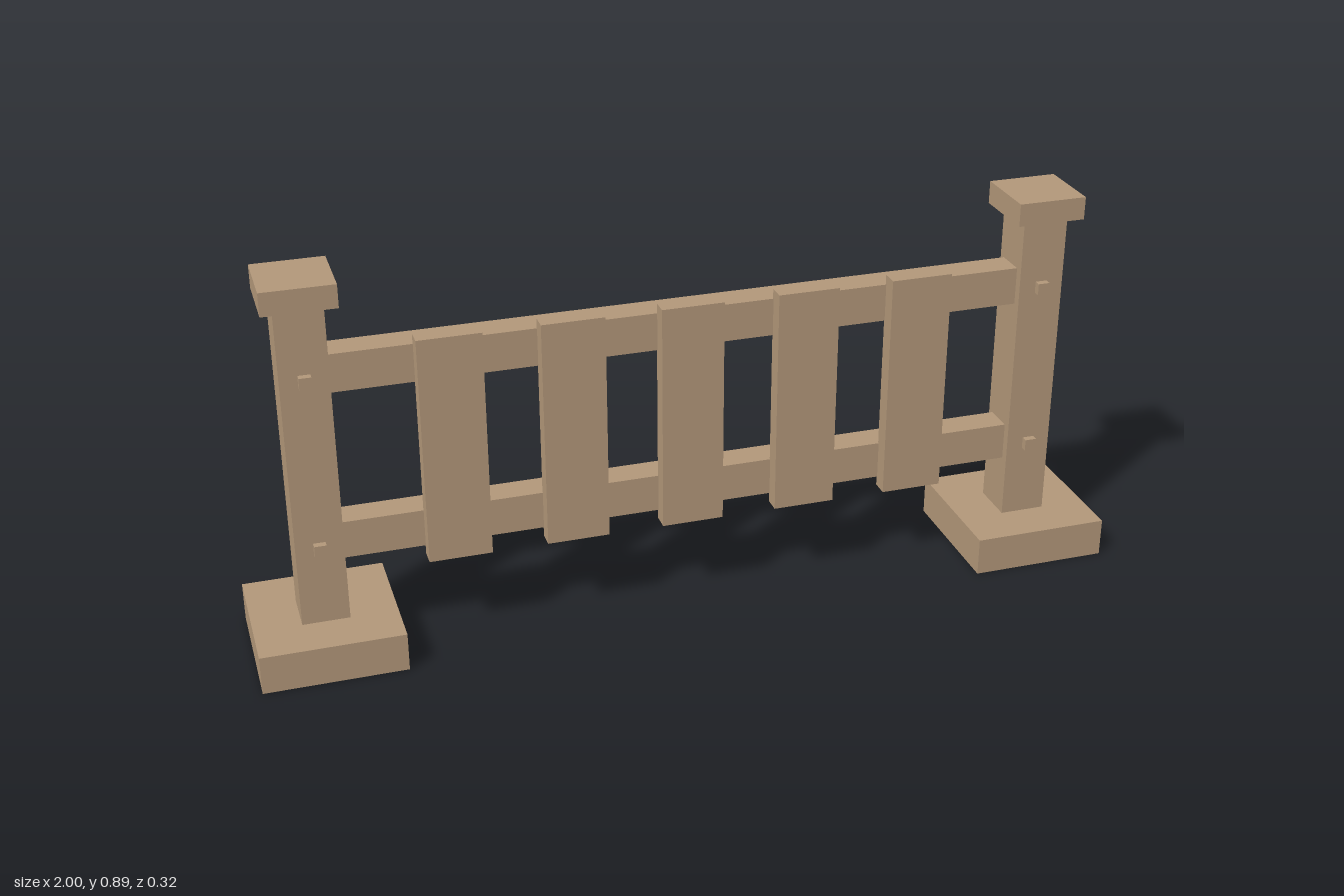
import * as THREE from 'three';

const POST_X = 0.84;
const RAIL_Y = [0.275, 0.675];

export function createModel() {
  const model = new THREE.Group();
  model.name = 'fence';
  const wood = new THREE.MeshStandardMaterial({ color: 0xb3987a });
  wood.name = 'tan wood';

  // Adds a box given its size and centre
  function box(parent, name, [w, h, d], [x, y, z]) {
    const mesh = new THREE.Mesh(new THREE.BoxGeometry(w, h, d), wood);
    mesh.name = name;
    mesh.position.set(x, y, z);
    parent.add(mesh);
  }

  // End posts with base, cap and pegs
  for (const side of [-1, 1]) {
    const post = new THREE.Group();
    post.name = side > 0 ? 'leftPost' : 'rightPost';
    post.position.x = side * POST_X;
    box(post, 'base', [0.32, 0.09, 0.32], [0, 0.045, 0]);
    box(post, 'shaft', [0.106, 0.75, 0.106], [0, 0.465, 0]);
    box(post, 'cap', [0.16, 0.053, 0.16], [0, 0.8665, 0]);
    for (const y of RAIL_Y) {
      box(post, 'peg', [0.027, 0.027, 0.03], [0, y, 0.054]);
    }
    model.add(post);
  }

  // Horizontal rails running into the posts
  for (const y of RAIL_Y) {
    box(model, 'rail', [2 * POST_X - 0.08, 0.088, 0.07], [0, y, -0.002]);
  }

  // Upright slats fixed to the front of the rails
  for (let i = -2; i <= 2; i++) {
    box(model, 'slat', [0.142, 0.533, 0.04], [i * 0.268, 0.475, 0.05]);
  }

  return model;
}
